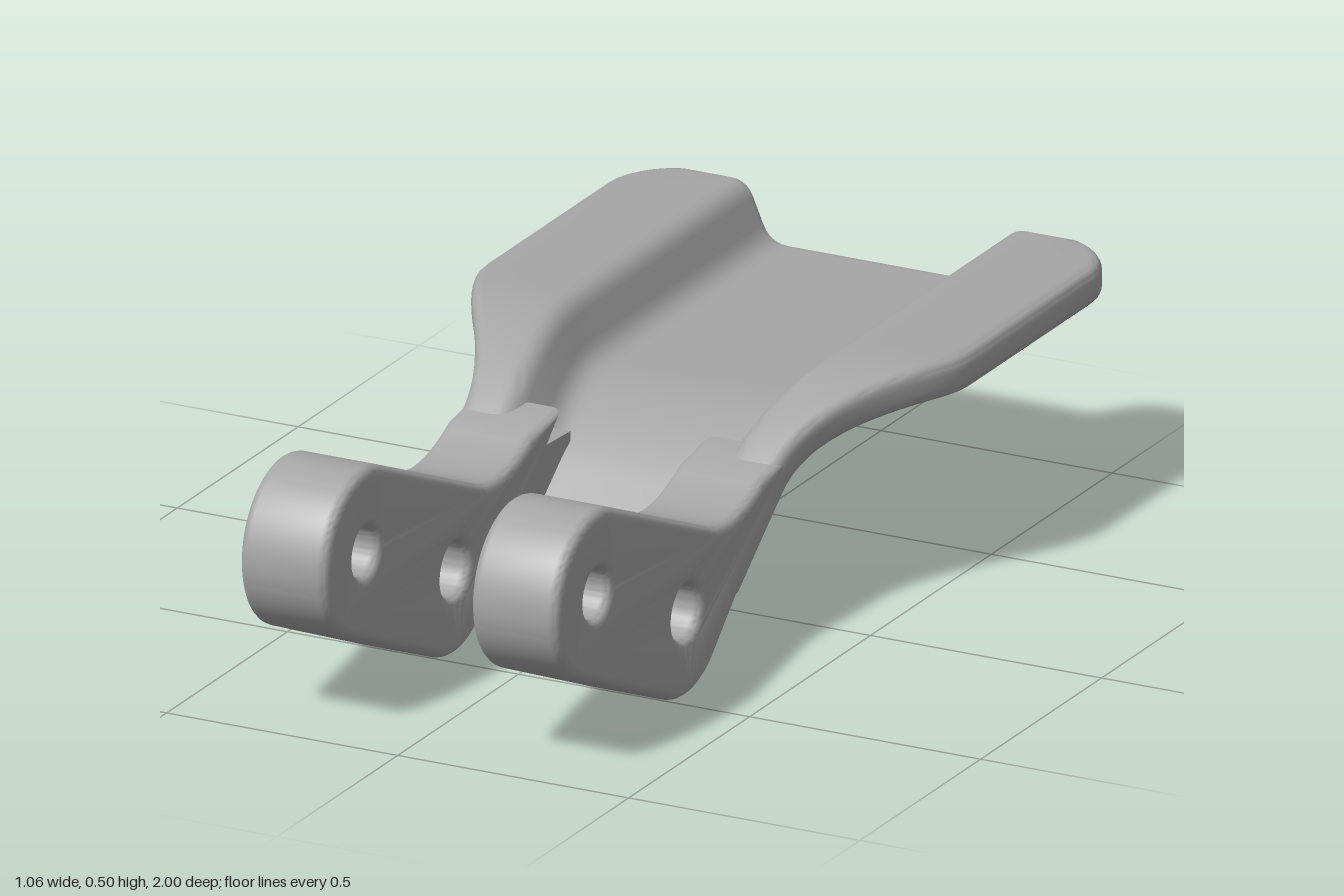
import * as THREE from 'three';
import { toCreasedNormals } from 'three/addons/utils/BufferGeometryUtils.js';

const V = (x, y) => new THREE.Vector2(x, y);
const SLOPE = THREE.MathUtils.degToRad(38);

// Closed outline with every corner replaced by a small curve; corners are [x, y, radius]
function roundOutline(corners, steps = 5) {
  const out = [];
  corners.forEach(([x, y, r], i) => {
    const p = V(x, y), n = corners.length;
    const toward = ([a, b]) => {
      const d = V(a, b).sub(p), len = d.length();
      return d.multiplyScalar(Math.min(r, len * 0.45) / len).add(p);
    };
    const a = toward(corners[(i + n - 1) % n]), b = toward(corners[(i + 1) % n]);
    out.push(...new THREE.QuadraticBezierCurve(a, p, b).getPoints(steps));
  });
  return out;
}

// Half width of the flanges: rounded rear corners, narrowing to the arms
function halfWidth(z) {
  const d = Math.min(0.13, z + 1);
  const corner = 0.13 - Math.sqrt(Math.max(0, 0.13 ** 2 - (0.13 - d) ** 2));
  return 0.53 - corner - 0.185 * THREE.MathUtils.smoothstep(z, -0.37, 0.05);
}

// Hat-shaped cross-section of the plate, shrunk by inset at the softened ends
function section(z, inset) {
  const w = halfWidth(z), k = 0.05 * THREE.MathUtils.smoothstep(z, -0.3, 0.12);
  const half = [
    [0.25 - k, -0.12, 0.05], [0.31 - k, 0, 0.04], [w, 0, 0.03],
    [w, 0.08, 0.03], [0.285 - k, 0.08, 0.035], [0.235 - k, -0.04, 0.04],
  ];
  const pts = roundOutline([...half, ...half.map(([x, y, r]) => [-x, y, r]).reverse()]);
  return pts.map((p, i) => {
    const t = pts[(i + 1) % pts.length].clone().sub(pts[(i + pts.length - 1) % pts.length]).normalize();
    return V(p.x - t.y * inset, p.y + t.x * inset);
  });
}

// Plate path (underside of the flanges): flat, bend, straight slope
function stations() {
  const list = [], tangent = 0.19, bendZ = -0.09, y0 = 0.39;
  const R = tangent / Math.tan(SLOPE / 2), start = bendZ - tangent;
  [[0, 0.02], [0.002, 0.012], [0.007, 0.005], [0.02, 0]].forEach(([d, inset]) =>
    list.push({ z: -1 + d, y: y0, a: 0, inset }));
  for (let i = 2; i <= 8; i++) list.push({ z: -0.87 - 0.13 * Math.cos((i / 8) * Math.PI / 2), y: y0, a: 0, inset: 0 });
  [-0.6, -0.37, -0.34, -0.31].forEach(z => list.push({ z, y: y0, a: 0, inset: 0 }));
  for (let i = 0; i <= 14; i++) {
    const a = (i / 14) * SLOPE;
    list.push({ z: start + R * Math.sin(a), y: y0 - R * (1 - Math.cos(a)), a, inset: 0 });
  }
  const end = V(0.25, 0.125);
  [[0.12, 0], [0.07, 0], [0.02, 0], [0.007, 0.005], [0.002, 0.012], [0, 0.02]].forEach(([d, inset]) =>
    list.push({ z: end.x - d * Math.cos(SLOPE), y: end.y + d * Math.sin(SLOPE), a: SLOPE, inset }));
  return list;
}

function plateGeometry() {
  const pos = [], idx = [], path = stations();
  const rings = path.map(s => section(s.z, s.inset));
  const n = rings[0].length;
  path.forEach((s, i) => rings[i].forEach(p =>
    pos.push(p.x, s.y + p.y * Math.cos(s.a), s.z + p.y * Math.sin(s.a))));
  for (let i = 0; i < path.length - 1; i++) {
    for (let j = 0; j < n; j++) {
      const a = i * n + j, b = i * n + (j + 1) % n;
      idx.push(a, b, a + n, b, b + n, a + n);
    }
  }
  const last = (path.length - 1) * n;
  THREE.ShapeUtils.triangulateShape(rings[0], []).forEach(([a, b, c]) => idx.push(a, c, b));
  THREE.ShapeUtils.triangulateShape(rings[path.length - 1], []).forEach(([a, b, c]) =>
    idx.push(last + a, last + b, last + c));
  const g = new THREE.BufferGeometry();
  g.setAttribute('position', new THREE.Float32BufferAttribute(pos, 3));
  g.setIndex(idx);
  return toCreasedNormals(g, 0.6);
}

// Extrude a (z, y) shape sideways so that it spans x0..x1
function sideExtrude(shape, x0, x1, bevel) {
  const g = new THREE.ExtrudeGeometry(shape, {
    depth: x1 - x0 - 2 * bevel, curveSegments: 28, bevelEnabled: bevel > 0,
    bevelThickness: bevel, bevelSize: bevel, bevelOffset: -bevel, bevelSegments: 4,
  });
  g.rotateY(-Math.PI / 2);
  g.translate(x1 - bevel, 0, 0);
  return toCreasedNormals(g, 0.6);
}

// Bent arm with two pivot holes
function armShape() {
  const h1 = V(0.83, 0.335), h2 = V(0.46, 0.175);
  const tilt = Math.atan2(h1.y - h2.y, h1.x - h2.x), q = Math.PI / 2;
  const s = new THREE.Shape();
  s.moveTo(0.02, 0.3);
  s.absarc(h2.x, h2.y, 0.172, -q - SLOPE, tilt - q, false);
  s.absarc(h1.x, h1.y, 0.17, tilt - q, tilt + q, false);
  s.lineTo(0.36, 0.318);
  s.quadraticCurveTo(0.27, 0.28, 0.14, 0.345);
  s.lineTo(0.02, 0.36);
  s.closePath();
  [[h1, 0.05], [h2, 0.055]].forEach(([c, r]) =>
    s.holes.push(new THREE.Path().absarc(c.x, c.y, r, 0, Math.PI * 2, true)));
  return s;
}

export function createModel() {
  const metal = new THREE.MeshStandardMaterial({ color: 0xa6a6a6 });
  metal.name = 'greyMetal';
  const model = new THREE.Group();
  model.name = 'lever';
  const add = (name, geometry) => {
    const mesh = new THREE.Mesh(geometry, metal);
    mesh.name = name;
    model.add(mesh);
  };

  add('channelPlate', plateGeometry());

  // Arms, and the wedges that join them to the channel floor
  const root = new THREE.Shape([V(-0.02, 0.24), V(0.19, 0.09), V(0.25, 0.15), V(0.2, 0.31), V(-0.02, 0.3)]);
  [['left', 1], ['right', -1]].forEach(([side, sign]) => {
    const span = (a, b) => (sign > 0 ? [a, b] : [-b, -a]);
    add(side + 'Arm', sideExtrude(armShape(), ...span(0.155, 0.345), 0.02));
    add(side + 'ArmRoot', sideExtrude(root, ...span(0.16, 0.24), 0));
  });
  return model;
}
